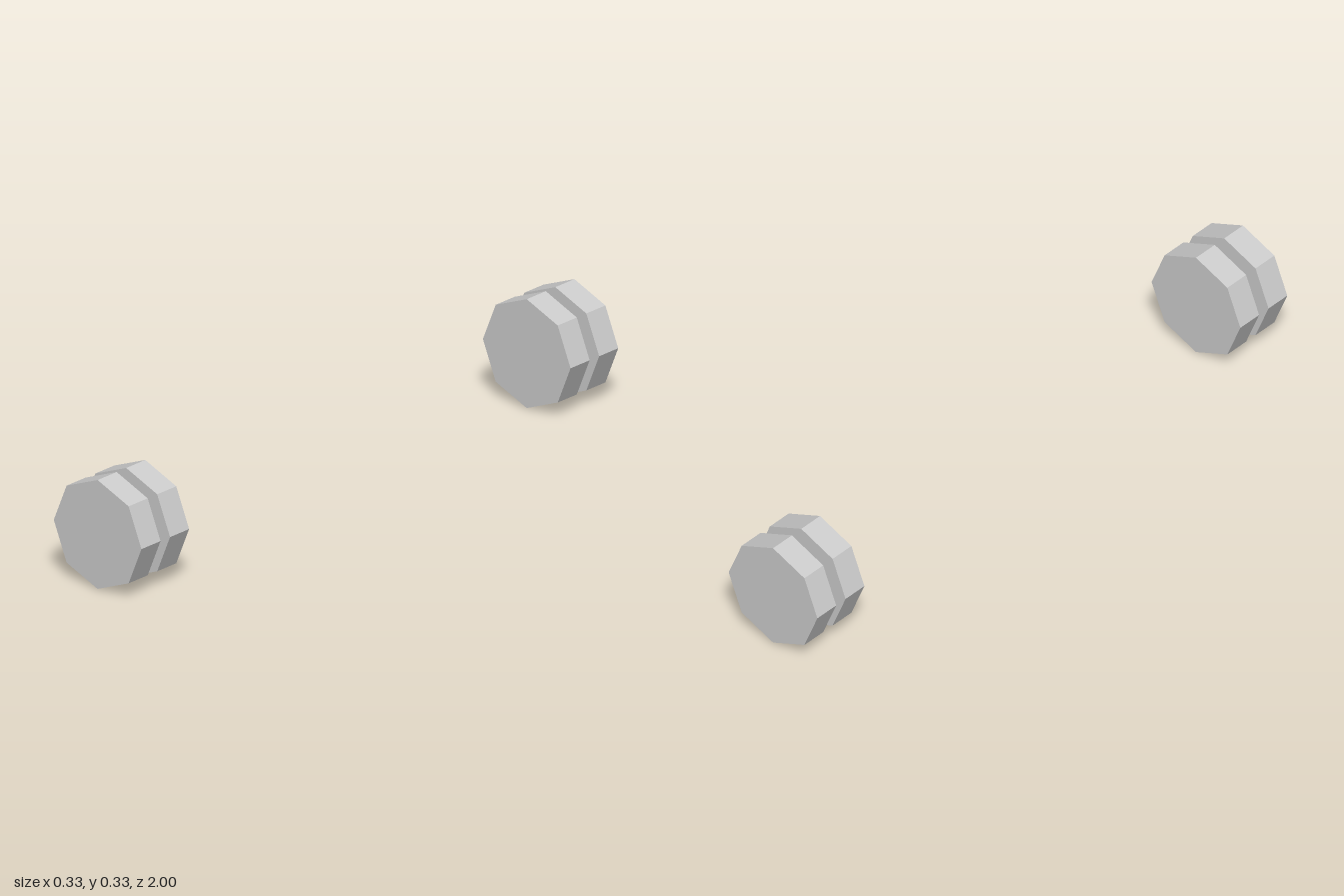
import * as THREE from 'three';

const RADIUS = 0.164;
const WIDTH = 0.08;
const INNER = 0.84; // axle-direction centre of the inner wheel of a pair
const OUTER = 0.96;

export function createModel() {
  const model = new THREE.Group();
  model.name = 'wheels';
  const material = new THREE.MeshStandardMaterial({ color: 0xcccccc, flatShading: true });

  // Eight-sided disc with its axis along z and a corner at the top
  const disc = new THREE.CylinderGeometry(RADIUS, RADIUS, WIDTH, 8).rotateX(Math.PI / 2);

  // Twin wheels at the front and back
  for (const [end, side] of [['front', 1], ['back', -1]]) {
    const pair = new THREE.Group();
    pair.name = `${end}WheelPair`;
    for (const [place, z] of [['Inner', INNER], ['Outer', OUTER]]) {
      const wheel = new THREE.Mesh(disc, material);
      wheel.name = `${end}${place}Wheel`;
      wheel.position.set(0, RADIUS, side * z);
      pair.add(wheel);
    }
    model.add(pair);
  }
  return model;
}
